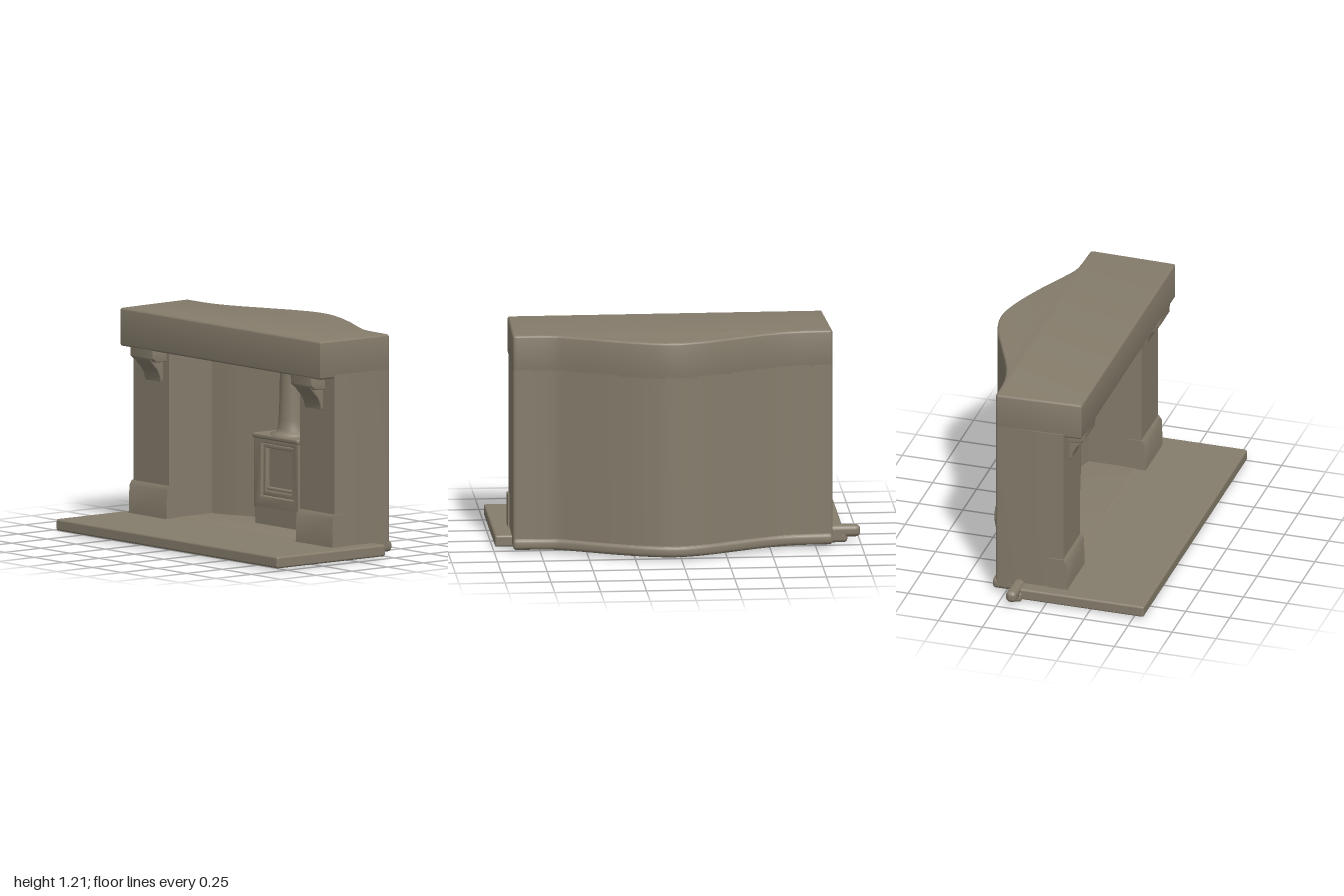
import * as THREE from 'three';
import { toCreasedNormals } from 'three/addons/utils/BufferGeometryUtils.js';
import { RoundedBoxGeometry } from 'three/addons/geometries/RoundedBoxGeometry.js';

const V = (x, y) => new THREE.Vector2(x, y);

export function createModel() {
  const group = new THREE.Group();
  const stone = new THREE.MeshStandardMaterial({ color: 0x857c6b });
  stone.name = 'stone';

  const add = (name, geo) => {
    const mesh = new THREE.Mesh(geo, stone);
    mesh.name = name;
    group.add(mesh);
    return mesh;
  };

  // Extrude a shape by h in total, with edges rounded by r inside its outline
  const extrude = (shape, h, r = 0) => new THREE.ExtrudeGeometry(shape, {
    depth: h - 2 * r, curveSegments: 8, bevelEnabled: r > 0,
    bevelThickness: r, bevelSize: r, bevelOffset: -r, bevelSegments: 3,
  }).translate(0, 0, r);

  // Plan shape (x, -z) raised from y0 to y1
  const raise = (shape, y0, y1, r) => toCreasedNormals(
    extrude(shape, y1 - y0, r).rotateX(-Math.PI / 2).translate(0, y0, 0), 0.6);

  // Side profile (z, y) swept from x0 to x1
  const sweep = (pts, x0, x1, r) => toCreasedNormals(
    extrude(new THREE.Shape(pts.map(p => V(...p))), x1 - x0, r)
      .rotateY(-Math.PI / 2).translate(x1, 0, 0), 0.6);

  const box = (name, x0, x1, y0, y1, z0, z1, r = 0.01) =>
    add(name, new RoundedBoxGeometry(x1 - x0, y1 - y0, z1 - z0, 3, r)
      .translate((x0 + x1) / 2, (y0 + y1) / 2, (z0 + z1) / 2));

  // Bell-shaped back of the plan, from left to right, pushed out by d
  const backCurve = (s, d = 0) => {
    s.lineTo(0.9, 0.285 + d);
    s.quadraticCurveTo(0.9, 0.303 + d, 0.88, 0.303 + d);
    s.splineThru([[0.7, 0.312], [0.6, 0.345], [0.4, 0.44], [0.2, 0.518], [0.04, 0.547],
      [-0.12, 0.515], [-0.3, 0.437], [-0.5, 0.35], [-0.65, 0.312], [-0.82, 0.305]]
      .map(([x, y]) => V(x, y + d)));
    s.quadraticCurveTo(-0.84, 0.305 + d, -0.84, 0.285 + d);
  };

  const solidPlan = (xl, xr, front, d) => {
    const s = new THREE.Shape();
    s.moveTo(xl, -front);
    s.lineTo(xr, -front);
    backCurve(s, d);
    s.closePath();
    return s;
  };

  // Pillars and curved back wall in one piece, around the open recess
  const walls = new THREE.Shape();
  walls.moveTo(0.595, -0.08);
  walls.lineTo(0.893, -0.08);
  backCurve(walls);
  walls.lineTo(-0.833, -0.08);
  walls.lineTo(-0.525, -0.08);
  walls.lineTo(-0.525, 0.22);
  walls.splineThru([V(-0.4, 0.26), V(-0.22, 0.34), V(-0.06, 0.41), V(0.04, 0.43),
    V(0.14, 0.41), V(0.3, 0.34), V(0.48, 0.26), V(0.595, 0.22)]);
  walls.closePath();
  add('pillarsAndBackWall', raise(walls, 0.04, 1.02));

  // Mantel beam and top
  add('mantel', raise(solidPlan(-0.82, 0.89, 0.18, 0), 1.0, 1.21, 0.012));

  // Recess floor with a slight lip behind, and the hearth slab in front
  add('recessFloor', raise(solidPlan(-0.835, 0.895, 0.06, 0.017), 0.018, 0.08, 0.02));
  box('hearth', -0.91, 0.99, 0.012, 0.076, -0.2, 0.56, 0.012);

  // Small stub at the rear corner of the hearth
  box('hearthStub', -1.0, -0.8, 0.03, 0.095, -0.2, -0.14, 0.025);
  box('hearthStubFoot', -0.93, -0.8, 0.0, 0.06, -0.2, -0.13, 0.02);

  // Pillar bases and mantel brackets
  const baseProfile = [[0, 0.07], [0.105, 0.07], [0.1, 0.23], [0.082, 0.255], [0, 0.255]];
  const scroll = [[0.05, 1.01], [0.172, 1.01], [0.17, 0.95], [0.15, 0.92], [0.12, 0.89],
    [0.1, 0.855], [0.092, 0.82], [0.05, 0.81]];
  const cap = [[0.05, 1.01], [0.177, 1.01], [0.173, 0.955], [0.15, 0.935], [0.05, 0.93]];
  for (const [side, b0, b1, c0, c1, s0, s1] of [
    ['right', -0.842, -0.52, -0.745, -0.55, -0.72, -0.58],
    ['left', 0.59, 0.903, 0.63, 0.81, 0.65, 0.795],
  ]) {
    add(side + 'PillarBase', sweep(baseProfile, b0, b1));
    add(side + 'BracketScroll', sweep(scroll, s0, s1, 0.006));
    add(side + 'BracketCap', sweep(cap, c0, c1, 0.006));
  }

  // Stove: plinth, body, front frame, door and top plate
  box('stovePlinth', -0.09, 0.28, 0.07, 0.185, -0.37, -0.165);
  box('stoveBody', -0.1, 0.282, 0.17, 0.56, -0.385, -0.2);
  const rect = (Type, x0, x1, y0, y1) =>
    new Type([V(x0, y0), V(x1, y0), V(x1, y1), V(x0, y1)]);
  const frame = (name, outer, inner, z0, z1) => {
    const s = rect(THREE.Shape, ...outer);
    s.holes.push(rect(THREE.Path, ...inner));
    add(name, toCreasedNormals(extrude(s, z1 - z0, 0.005).translate(0, 0, z0), 0.6));
  };
  frame('stoveFront', [-0.1, 0.282, 0.17, 0.555], [-0.035, 0.238, 0.235, 0.525], -0.215, -0.165);
  frame('stoveDoor', [-0.032, 0.235, 0.238, 0.522], [-0.008, 0.212, 0.265, 0.5], -0.21, -0.175);
  box('stoveGrate', -0.01, 0.214, 0.255, 0.285, -0.21, -0.185, 0.008);
  box('stoveTop', -0.104, 0.286, 0.548, 0.575, -0.39, -0.155);

  // Flue pipe with a flared foot
  const flue = [[0.12, 0.56], [0.118, 0.582], [0.09, 0.59], [0.078, 0.61], [0.073, 0.66],
    [0.067, 0.8], [0.066, 0.97], [0.075, 1.01]].map(p => V(...p));
  add('fluePipe', new THREE.LatheGeometry(flue, 32).translate(0.093, 0, -0.275));

  return group;
}
